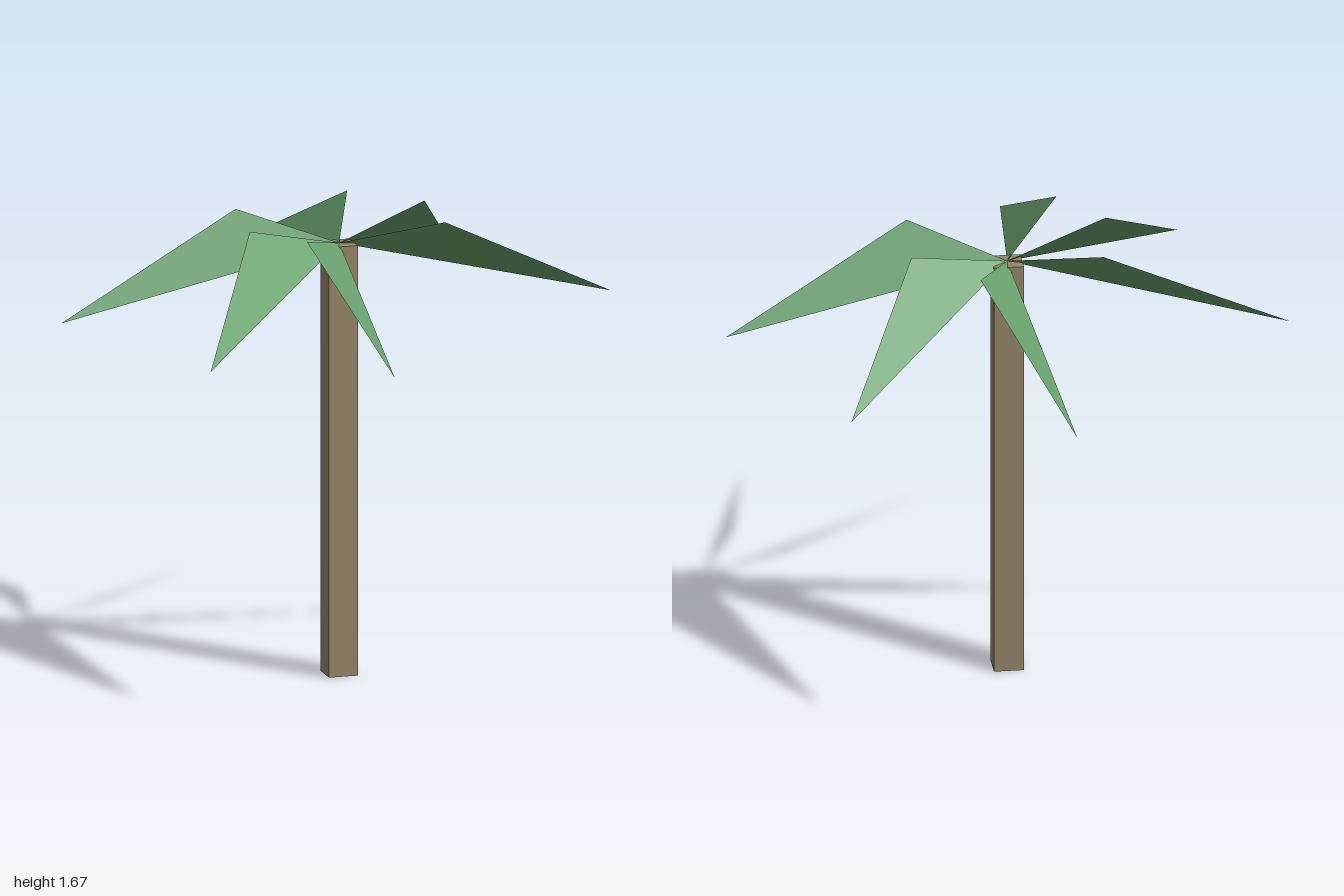
import * as THREE from 'three';

const TRUNK_HEIGHT = 1.57;
const TRUNK_WIDTH = 0.107;

const trunkMaterial = new THREE.MeshStandardMaterial({ color: 0x96876a });
trunkMaterial.name = 'barkBrown';
const leafMaterial = new THREE.MeshStandardMaterial({
  color: 0x68a06d, side: THREE.DoubleSide, flatShading: true,
});
leafMaterial.name = 'leafGreen';

// One bent leaf blade: crown, raised shoulder, drooping tip
function frondGeometry() {
  const shoulderAngle = THREE.MathUtils.degToRad(28.5);
  const geometry = new THREE.BufferGeometry();
  geometry.setAttribute('position', new THREE.Float32BufferAttribute([
    0, 0, 0,
    0.384 * Math.cos(shoulderAngle), 0.095, 0.384 * Math.sin(shoulderAngle),
    1.0025, -0.245, 0,
  ], 3));
  geometry.computeVertexNormals();
  return geometry;
}

export function createModel() {
  const palm = new THREE.Group();
  palm.name = 'palmTree';

  // Square trunk
  const trunk = new THREE.Mesh(
    new THREE.BoxGeometry(TRUNK_WIDTH, TRUNK_HEIGHT, TRUNK_WIDTH), trunkMaterial);
  trunk.name = 'trunk';
  trunk.position.set(-0.003, TRUNK_HEIGHT / 2, -0.002);
  palm.add(trunk);

  // Crown of unevenly spaced fronds
  const crown = new THREE.Group();
  crown.name = 'crown';
  crown.position.set(-0.003, TRUNK_HEIGHT + 0.001, -0.002);
  const geometry = frondGeometry();
  for (const degrees of [0.5, -49.6, -97.3, -174.2, 133.9, 95.6]) {
    const frond = new THREE.Mesh(geometry, leafMaterial);
    frond.name = 'frond';
    frond.rotation.y = -THREE.MathUtils.degToRad(degrees);
    crown.add(frond);
  }
  palm.add(crown);

  return palm;
}
